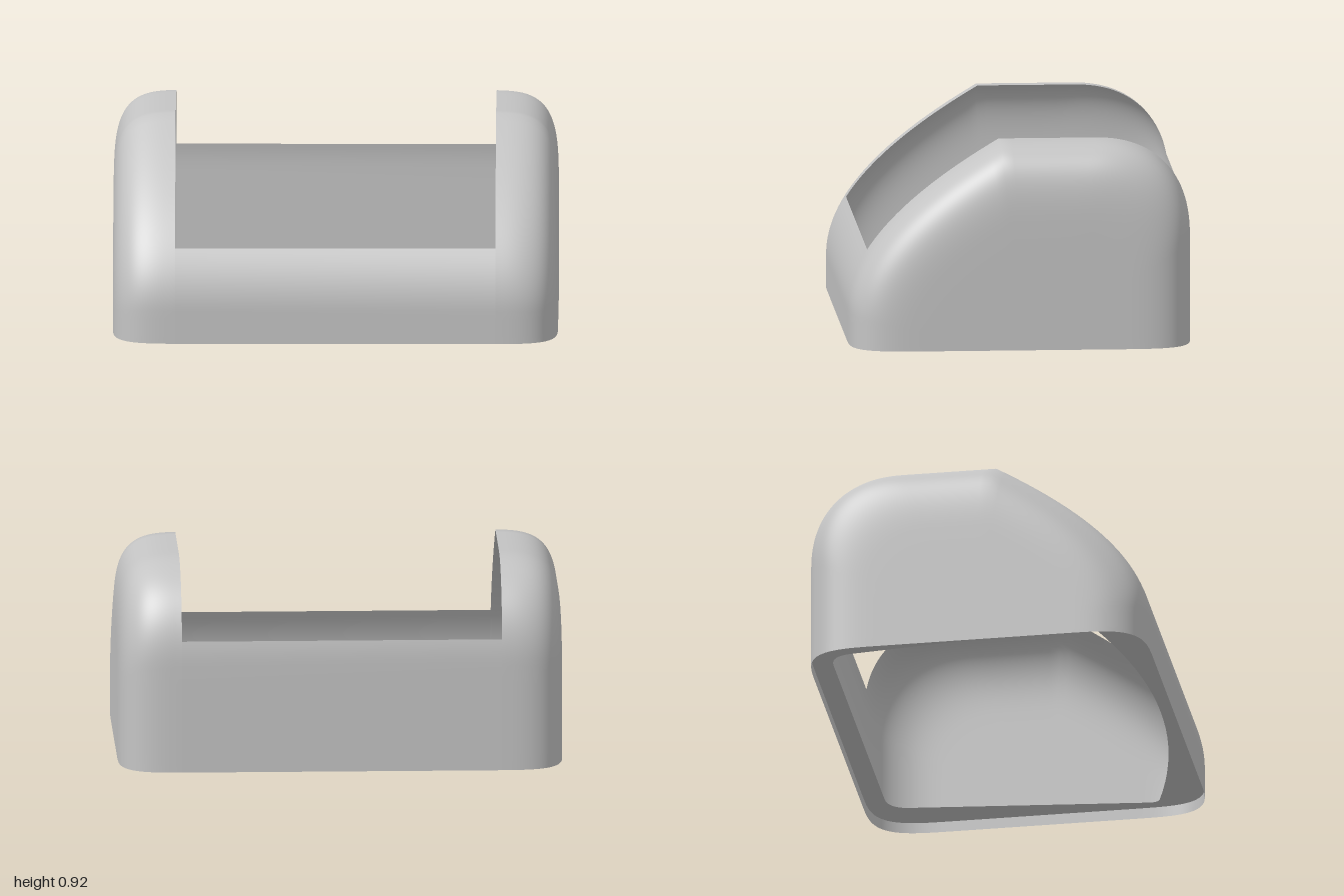
import * as THREE from 'three';

const CUT = 0.72;              // half width of the opening
const FLAT = 0.64;             // where the edge rounding starts in x
const INSET = 0.5;             // how far the rounding shrinks the outline
const POW = 2 / 4;             // superellipse exponent of the rounding
const DEPTH = 0.77, TOP = 0.92;

// Side outline [z, y]: front foot, sloped front, flat top, round back, back foot
function sideProfile() {
  const p = [];
  for (let i = 0; i < 4; i++) p.push([DEPTH, 0.15 * i / 4]);
  const slope = new THREE.QuadraticBezierCurve(
    new THREE.Vector2(DEPTH, 0.15), new THREE.Vector2(DEPTH, 0.52), new THREE.Vector2(0.09, TOP));
  slope.getPoints(28).forEach(v => p.push([v.x, v.y]));
  for (let i = 1; i < 8; i++) p.push([0.09 - 0.43 * i / 8, TOP]);
  for (let i = 0; i <= 28; i++) {
    const a = i / 28 * Math.PI / 2;
    const c = Math.max(0, Math.cos(a));
    p.push([-0.34 - 0.43 * Math.sin(a) ** 0.87, 0.48 + 0.44 * c ** 0.87]);
  }
  for (let i = 1; i <= 6; i++) p.push([-DEPTH, 0.48 * (1 - i / 6)]);
  return p;
}

// Smooth sheet from rows of points
function sheet(rows, flip) {
  const n = rows[0].length, index = [];
  for (let r = 0; r < rows.length - 1; r++) {
    for (let c = 0; c < n - 1; c++) {
      const a = r * n + c, b = a + 1, d = a + n, e = d + 1;
      if (flip) index.push(a, b, d, b, e, d);
      else index.push(a, d, b, b, d, e);
    }
  }
  const g = new THREE.BufferGeometry();
  g.setAttribute('position', new THREE.Float32BufferAttribute(rows.flat(2), 3));
  g.setIndex(index);
  g.computeVertexNormals();
  return g;
}

// Part of an outline from its foot up to a height
function upTo(p, h) {
  const end = p.findIndex(q => q[1] >= h);
  const [a, b] = [p[end - 1], p[end]], t = (h - a[1]) / (b[1] - a[1]);
  return [...p.slice(0, end), [a[0] + (b[0] - a[0]) * t, h]];
}

// Rounding from the outline to the flat side: x and outline scale
function edge(a) {
  return [
    FLAT + (1 - FLAT) * Math.max(0, Math.sin(a)) ** POW,
    1 - INSET * (1 - Math.max(0, Math.cos(a)) ** POW)];
}

export function createModel() {
  const group = new THREE.Group();
  const grey = new THREE.MeshStandardMaterial({ color: 0xc4c4c4, side: THREE.DoubleSide });
  grey.name = 'grey';
  const add = (geometry, name) => {
    const m = new THREE.Mesh(geometry, grey);
    m.name = name;
    group.add(m);
  };
  const profile = sideProfile();
  const start = Math.asin(((CUT - FLAT) / (1 - FLAT)) ** (1 / POW));

  for (const s of [1, -1]) {
    const name = s > 0 ? 'left' : 'right';
    const rows = [];
    for (let i = 0; i <= 36; i++) {
      const [x, k] = edge(start + (Math.PI / 2 - start) * i / 36);
      const scale = i ? k : 1;
      rows.push(profile.map(([z, y]) => [s * x, y * scale, z * scale]));
    }
    add(sheet(rows, s > 0), name + 'RoundedEdge');
    // Flat side wall, fanned from the middle of its foot
    const rim = rows[rows.length - 1];
    add(sheet([rim, rim.map(() => [s, 0, 0])], s > 0), name + 'SideWall');
  }

  // Low front and back walls between the sides
  const wall = (p, flip) => sheet([-1, 1].map(s => p.map(([z, y]) => [s * CUT, y, z])), flip);
  add(wall(upTo(profile, 0.42), true), 'frontWall');
  add(wall(upTo([...profile].reverse(), 0.6), false), 'backWall');

  // Thin inner flange just above the foot
  const outline = [];
  const corners = [[1, 1, false], [1, -1, true], [-1, -1, false], [-1, 1, true]];
  for (const [sx, sz, reverse] of corners) {
    for (let i = 0; i <= 24; i++) {
      const [x, k] = edge((reverse ? 24 - i : i) / 24 * Math.PI / 2);
      outline.push(new THREE.Vector2(sx * x, -sz * DEPTH * k));
    }
  }
  const flange = new THREE.Shape(outline);

  // Flange opening: bowed front, sides narrowing to a rounded back
  const hole = new THREE.Path();
  const F = 0.92, W = 0.945, B = 0.82, BACK = 0.678, R = 0.1;
  const bow = x => -(0.695 - 0.18 * x * x);
  hole.moveTo(-F, bow(F));
  for (let i = 1; i <= 20; i++) {
    const x = -F + 2 * F * i / 20;
    hole.lineTo(x, bow(x));
  }
  hole.quadraticCurveTo(W, bow(W), W, bow(W) + 0.04);
  hole.lineTo(B + 0.01, BACK - R);
  hole.quadraticCurveTo(B, BACK, B - R, BACK);
  hole.lineTo(-B + R, BACK);
  hole.quadraticCurveTo(-B, BACK, -B - 0.01, BACK - R);
  hole.lineTo(-W, bow(W) + 0.04);
  hole.quadraticCurveTo(-W, bow(W), -F, bow(F));
  flange.holes.push(hole);
  const flangeGeometry = new THREE.ShapeGeometry(flange, 10);
  flangeGeometry.rotateX(-Math.PI / 2).translate(0, 0.05, 0);
  add(flangeGeometry, 'innerFlange');

  return group;
}
